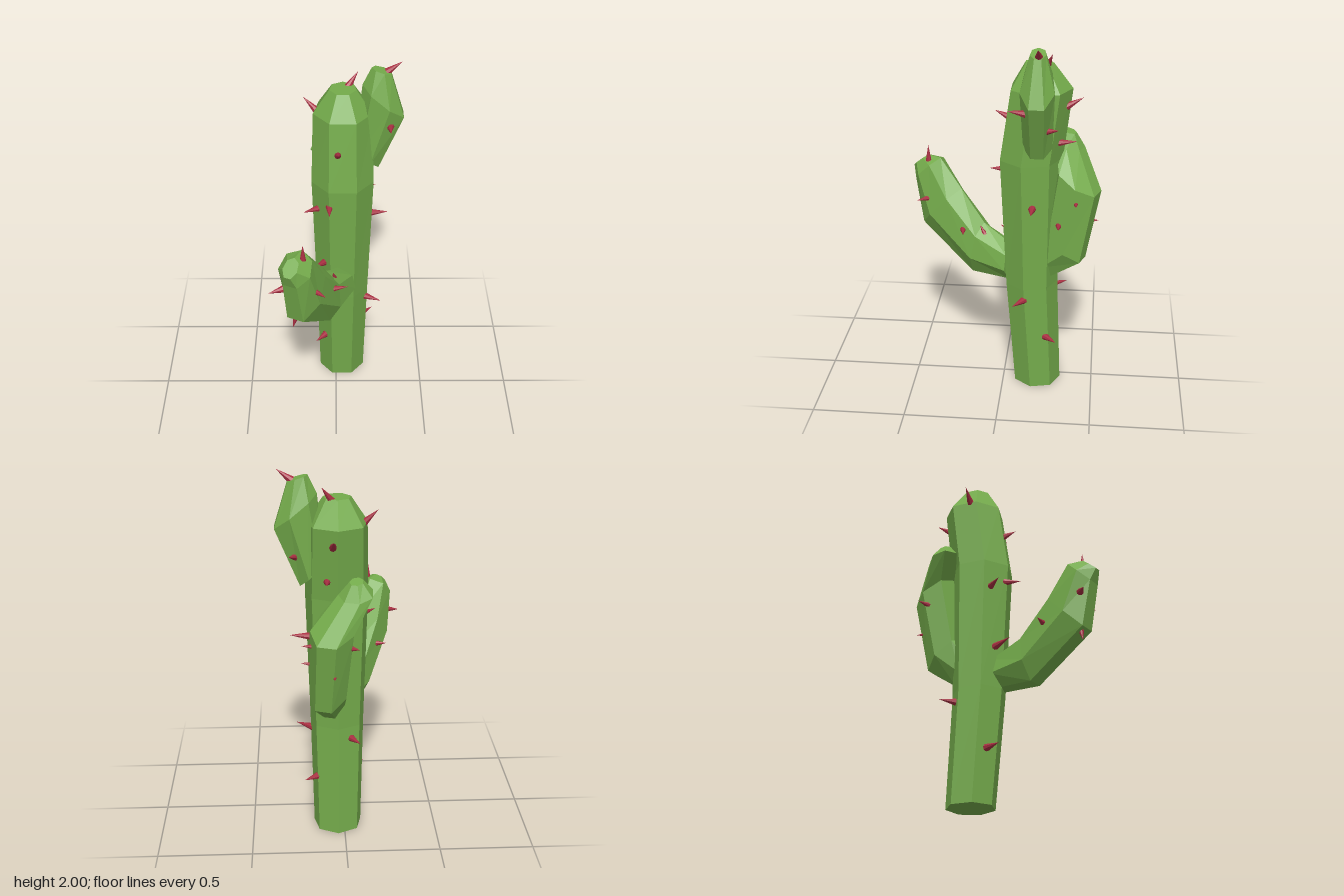
import * as THREE from 'three';

const SIDES = 7;
const UP = new THREE.Vector3(0, 1, 0);
const green = new THREE.MeshStandardMaterial({ color: 0x74ab4b, flatShading: true });
const red = new THREE.MeshStandardMaterial({ color: 0xa92f42, flatShading: true });

// A faceted limb growing in the vertical plane through (ox, oz) along (dx, dz).
// Each ring: [inner s, inner y, outer s, outer y, half width, sideways shift].
// The inner point is a corner of the heptagon, the outer one the middle of a side.
function limb(name, [ox, oz], [dx, dz], rings) {
  const d = new THREE.Vector3(dx, 0, dz).normalize();
  const side = new THREE.Vector3().crossVectors(d, UP);
  const at = (s, y, e) => new THREE.Vector3(ox, y, oz).addScaledVector(d, s).addScaledVector(side, e);
  const loops = rings.map(([ps, py, qs, qy, w, e = 0]) => {
    const p = at(ps, py, e);
    const u = p.clone().sub(at(qs, qy, e)).divideScalar(1 + Math.cos(Math.PI / SIDES));
    const c = p.clone().sub(u);
    return Array.from({ length: SIDES }, (_, i) => {
      const t = (i / SIDES) * Math.PI * 2;
      return c.clone().addScaledVector(u, Math.cos(t)).addScaledVector(side, w * 1.025 * Math.sin(t));
    });
  });
  const pts = [];
  for (let k = 0; k + 1 < loops.length; k++) {
    for (let i = 0; i < SIDES; i++) {
      const j = (i + 1) % SIDES;
      const a = loops[k], b = loops[k + 1];
      pts.push(a[i], a[j], b[j], a[i], b[j], b[i]);
    }
  }
  // End caps
  const first = loops[0], last = loops[loops.length - 1];
  for (let i = 1; i + 1 < SIDES; i++) {
    pts.push(first[0], first[i + 1], first[i], last[0], last[i], last[i + 1]);
  }
  const geo = new THREE.BufferGeometry().setFromPoints(pts);
  geo.computeVertexNormals();
  const mesh = new THREE.Mesh(geo, green);
  mesh.name = name;
  return mesh;
}

// A thorn from a base point to its tip, with the base sunk slightly into the skin
function thorn([bx, by, bz, tx, ty, tz]) {
  const tip = new THREE.Vector3(tx, ty, tz);
  const dir = tip.clone().sub(new THREE.Vector3(bx, by, bz));
  const len = dir.length() + 0.02;
  dir.normalize();
  const mesh = new THREE.Mesh(new THREE.ConeGeometry(0.021, len, 8), red);
  mesh.quaternion.setFromUnitVectors(UP, dir);
  mesh.position.copy(tip).addScaledVector(dir, -len / 2);
  mesh.name = 'thorn';
  return mesh;
}

function thorns(name, list) {
  const group = new THREE.Group();
  group.name = name;
  list.forEach((t) => group.add(thorn(t)));
  return group;
}

export function createModel() {
  const model = new THREE.Group();
  model.name = 'cactus';

  model.add(limb('trunk', [0.035, 0], [0, 1], [
    [-0.32, 0, -0.07, 0, 0.128],
    [-0.295, 0.62, -0.02, 0.62, 0.143],
    [-0.31, 1.34, 0.015, 1.34, 0.165],
    [-0.355, 1.72, -0.04, 1.72, 0.155],
    [-0.255, 1.85, -0.11, 1.85, 0.07],
  ]));

  model.add(limb('frontArm', [0.005, 0], [-0.43, 0.9], [
    [-0.05, 0.82, -0.05, 0.63, 0.09],
    [0.13, 0.91, 0.18, 0.62, 0.1],
    [0.275, 1.08, 0.5, 0.85, 0.105],
    [0.41, 1.235, 0.55, 1.1, 0.09],
    [0.49, 1.24, 0.575, 1.17, 0.04],
  ]));

  model.add(limb('backArm', [0.035, -0.15], [0.35, -0.94], [
    [0.02, 0.85, 0.13, 0.68, 0.07],
    [0.08, 0.95, 0.29, 0.79, 0.1, -0.02],
    [0.12, 1.3, 0.35, 1.17, 0.115, -0.06],
    [0.07, 1.42, 0.22, 1.37, 0.09, -0.15],
    [0.11, 1.47, 0.18, 1.45, 0.035, -0.15],
  ]));

  model.add(limb('upperArm', [0, -0.185], [1, 0], [
    [0.1, 1.52, 0.225, 1.4, 0.075],
    [0.135, 1.87, 0.35, 1.7, 0.087],
    [0.18, 1.965, 0.28, 1.935, 0.04],
  ]));

  model.add(thorns('trunkThorns', [
    [-0.11, 1.73, -0.19, -0.17, 1.79, -0.205],
    [0.07, 1.85, -0.225, 0.115, 1.915, -0.25],
    [0.01, 1.555, -0.01, 0.015, 1.585, 0.05],
    [-0.035, 1.24, 0.01, -0.035, 1.24, 0.085],
    [0.06, 1.64, -0.34, 0.06, 1.68, -0.41],
    [0.09, 1.445, -0.3, 0.095, 1.455, -0.385],
    [0.2, 1.105, -0.16, 0.285, 1.11, -0.16],
    [0.18, 0.555, -0.11, 0.255, 0.56, -0.065],
    [0.155, 0.32, -0.25, 0.215, 0.325, -0.3],
    [-0.07, 0.29, -0.08, -0.115, 0.295, -0.02],
    [-0.1, 1.19, -0.07, -0.175, 1.2, -0.015],
    [-0.07, 0.85, -0.04, -0.12, 0.87, 0.035],
    [-0.04, 0.555, -0.27, -0.08, 0.56, -0.345],
  ]));

  model.add(thorns('frontArmThorns', [
    [-0.165, 1.21, 0.435, -0.165, 1.31, 0.435],
    [-0.28, 1.03, 0.43, -0.345, 1.02, 0.45],
    [-0.21, 0.84, 0.42, -0.225, 0.78, 0.43],
    [-0.11, 1.02, 0.43, -0.05, 1.025, 0.49],
    [-0.015, 0.88, 0.23, 0.065, 0.885, 0.22],
    [-0.01, 0.86, 0.11, -0.015, 0.91, 0.135],
    [-0.2, 0.9, 0.225, -0.255, 0.91, 0.2],
  ]));

  model.add(thorns('backArmThorns', [
    [0.15, 1.135, -0.385, 0.225, 1.14, -0.39],
    [0.15, 1.0, -0.3, 0.23, 1.01, -0.3],
    [0.06, 1.0, -0.45, 0.06, 1.0, -0.51],
    [-0.02, 1.14, -0.43, -0.065, 1.15, -0.48],
  ]));

  model.add(thorns('upperArmThorns', [
    [0.275, 1.95, -0.19, 0.335, 1.995, -0.19],
    [0.28, 1.66, -0.11, 0.28, 1.67, -0.035],
    [0.25, 1.56, -0.24, 0.28, 1.575, -0.295],
  ]));

  return model;
}
